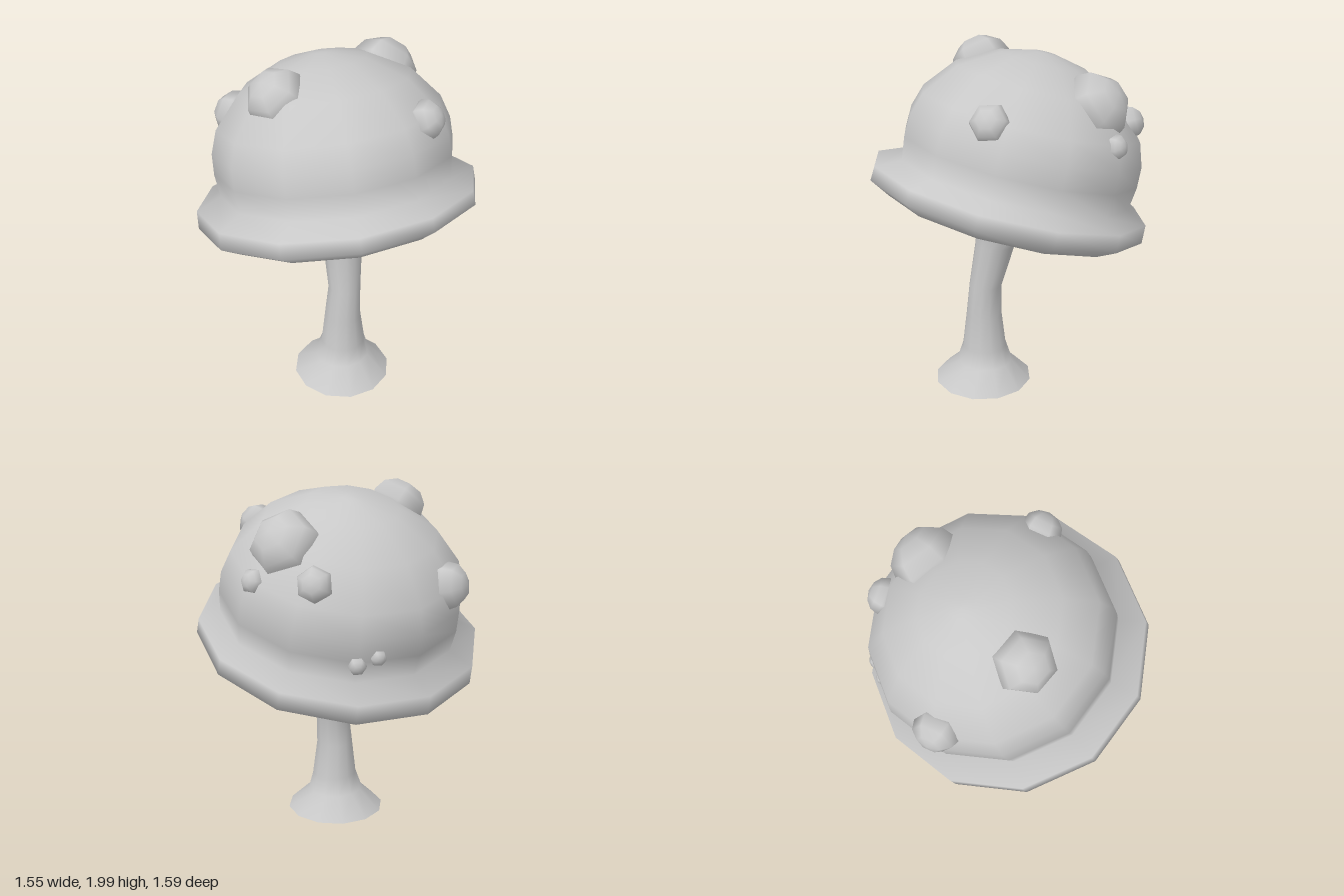
import * as THREE from 'three';

const grey = new THREE.MeshStandardMaterial({ color: 0xc8c8c8, side: THREE.DoubleSide });
grey.name = 'grey';

const UP = new THREE.Vector3(0, 1, 0);
const CAP_BASE = new THREE.Vector3(0, 1.145, 0);
const CAP_AXIS = new THREE.Vector3(-0.28, 1, -0.076).normalize();

// Bent stem: rings of [y, centre x, centre z, radius x, radius z, tilt], joined smoothly
function makeStem() {
  const rings = [
    [0, 0.13, 0.08, 0.284, 0.282, 0],
    [0.12, 0.125, 0.072, 0.157, 0.163, 0],
    [0.22, 0.128, 0.07, 0.128, 0.13, 0],
    [0.42, 0.127, 0.072, 0.107, 0.104, 0],
    [0.62, 0.128, 0.058, 0.095, 0.094, 0],
    [0.87, 0.078, 0.028, 0.113, 0.113, 0.3],
    [1.07, 0.01, -0.005, 0.18, 0.18, 0.7],
    [1.16, -0.02, -0.01, 0.27, 0.26, 1],
    [1.185, -0.02, -0.01, 0.36, 0.35, 1],
  ];
  const sides = 12, positions = [], index = [];
  rings.forEach(([y, cx, cz, rx, rz, tilt], r) => {
    for (let i = 0; i < sides; i++) {
      const a = (i / sides) * Math.PI * 2;
      const dx = rx * Math.sin(a), dz = rz * Math.cos(a);
      positions.push(cx + dx, y + tilt * (0.28 * dx + 0.076 * dz), cz + dz);
      if (r === rings.length - 1) continue;
      const p = r * sides + i, q = r * sides + (i + 1) % sides;
      index.push(p, q, q + sides, p, q + sides, p + sides);
    }
  });
  const g = new THREE.BufferGeometry();
  g.setAttribute('position', new THREE.Float32BufferAttribute(positions, 3));
  g.setIndex(index);
  g.computeVertexNormals();
  return g;
}

// Tilted cap: hollow underside, thick rolled brim and rounded dome in one profile
function makeCap() {
  const profile = [
    [0, 0.05], [0.2, 0.05], [0.34, 0.035], [0.47, -0.01], [0.58, -0.065], [0.68, -0.11],
    [0.795, -0.045], [0.79, 0.05], [0.66, 0.11], [0.675, 0.24], [0.67, 0.36],
    [0.627, 0.49], [0.475, 0.67], [0.25, 0.79], [0.06, 0.833], [0, 0.835],
  ].map(([x, y]) => new THREE.Vector2(x, y));
  const g = new THREE.LatheGeometry(profile, 12);
  // The lip hangs lower on one side and the dome sits slightly off centre
  const p = g.attributes.position;
  for (let i = 0; i < p.count; i++) {
    const x = p.getX(i), y = p.getY(i), z = p.getZ(i);
    if (y < -0.04) p.setY(i, y + 0.022 * x);
    if (y > 0.1) p.setZ(i, z - 0.016);
  }
  return g;
}

export function createModel() {
  const model = new THREE.Group();
  model.name = 'mushroom';
  const add = (name, geometry) => {
    const mesh = new THREE.Mesh(geometry, grey);
    mesh.name = name;
    model.add(mesh);
    return mesh;
  };

  add('stem', makeStem());

  const cap = add('cap', makeCap());
  cap.position.copy(CAP_BASE);
  cap.quaternion.setFromUnitVectors(UP, CAP_AXIS);
  cap.rotateY(-0.025);

  // Six-sided warts half sunk in the dome: [x, y, z, radius, spin in degrees]
  const domeCentre = new THREE.Vector3(-0.08, 1.4, -0.04);
  const wartShape = new THREE.SphereGeometry(1, 6, 6);
  [
    [-0.13, 1.845, 0.31, 0.17, 15],
    [-0.16, 1.735, -0.48, 0.195, 42],
    [0.42, 1.74, -0.25, 0.11, 0],
    [-0.63, 1.5, 0.23, 0.132, 0],
    [-0.43, 1.585, -0.505, 0.1, 15],
    [-0.11, 1.565, -0.655, 0.07, 10],
    [-0.615, 1.18, -0.38, 0.05, 0],
    [-0.65, 1.21, -0.27, 0.045, 0],
  ].forEach(([x, y, z, r, spin], i) => {
    const wart = add('wart' + (i + 1), wartShape);
    wart.position.set(x, y, z);
    const outward = wart.position.clone().sub(domeCentre).normalize();
    wart.quaternion.setFromUnitVectors(UP, outward);
    wart.rotateY(THREE.MathUtils.degToRad(spin));
    wart.scale.set(r, r * 0.84, r);
  });

  return model;
}
